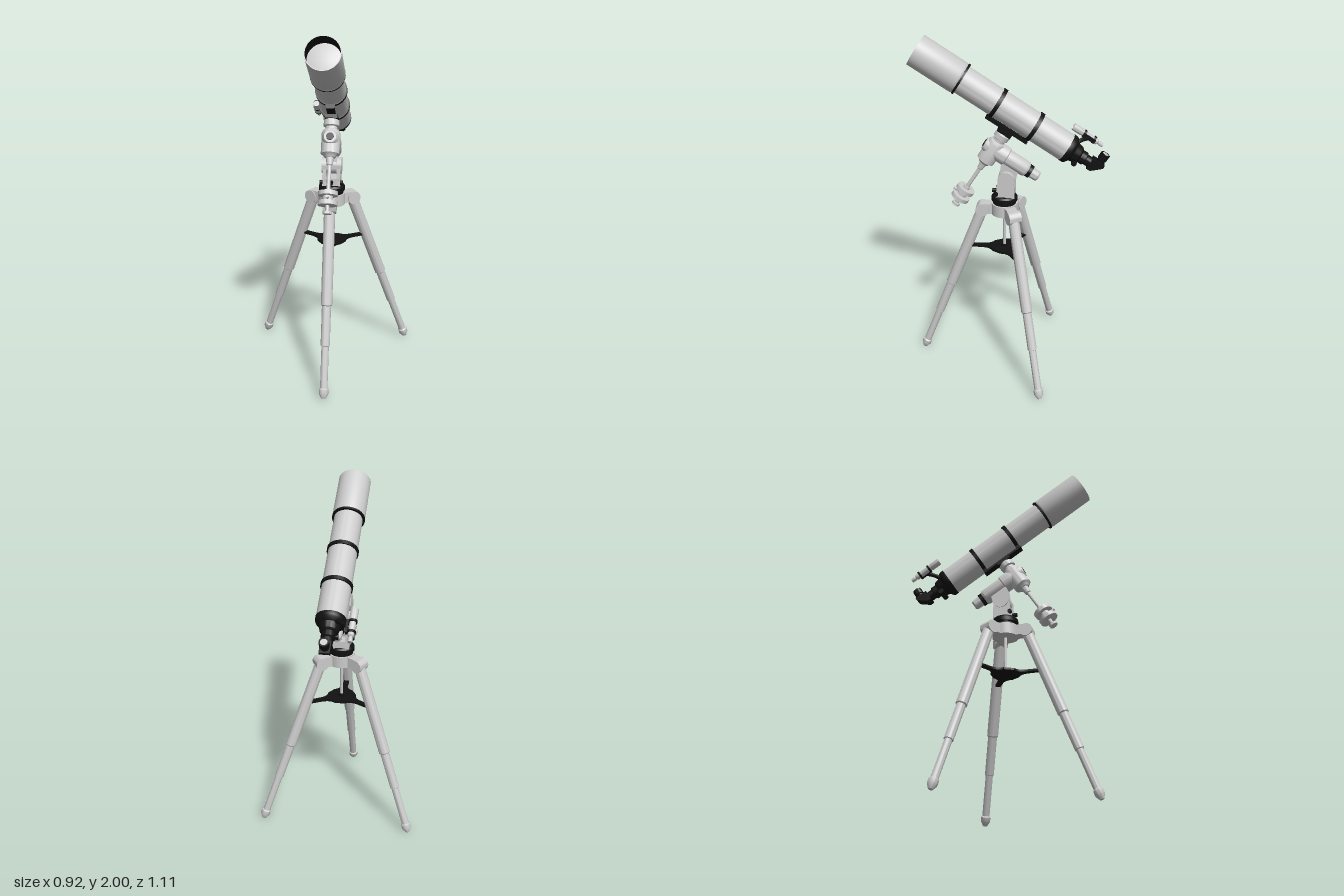
import * as THREE from 'three';
import { toCreasedNormals } from 'three/addons/utils/BufferGeometryUtils.js';

const grey = new THREE.MeshStandardMaterial({ color: 0xcccccc });
const black = new THREE.MeshStandardMaterial({ color: 0x111111 });
const TILT = 0.564;   // optical axis above the horizon
const HUB_Z = 0.03;   // tripod centre

function add(parent, name, geo, mat, x = 0, y = 0, z = 0) {
  const m = new THREE.Mesh(geo, mat);
  m.name = name;
  m.position.set(x, y, z);
  parent.add(m);
  return m;
}

// Turned part; profile is [radius, position] pairs, ascending along the axis.
function turned(profile, axis = 'y', seg = 40) {
  const g = new THREE.LatheGeometry(profile.map(p => new THREE.Vector2(p[0], p[1])), seg);
  if (axis === 'z') g.rotateX(Math.PI / 2);
  if (axis === 'x') g.rotateZ(-Math.PI / 2);
  return toCreasedNormals(g, 0.6);
}
const rod = (r, a, b, axis, seg) => turned([[0, a], [r, a], [r, b], [0, b]], axis, seg);
const ring = (ri, ro, a, b, axis) => turned([[ri, a], [ro, a], [ro, b], [ri, b], [ri, a]], axis);
const box = (w, h, d) => new THREE.BoxGeometry(w, h, d);

// Flat outline in the (z, y) plane, given thickness along x.
function sidePlate(points, width) {
  const s = new THREE.Shape(points.map(p => new THREE.Vector2(-p[0], p[1])));
  return new THREE.ExtrudeGeometry(s, { depth: width, bevelEnabled: false, curveSegments: 24 })
    .translate(0, 0, -width / 2).rotateY(Math.PI / 2);
}

function buildTube() {
  const g = new THREE.Group();
  g.name = 'opticalTube';
  add(g, 'mainTube', turned([[0, -0.335], [0.081, -0.335], [0.081, 0.362]], 'z', 56), grey);
  add(g, 'dewShield', turned([[0.081, 0.355], [0.0925, 0.372], [0.0925, 0.645], [0.088, 0.645]], 'z', 56), grey);
  add(g, 'shieldLining', turned([[0.088, 0.645], [0.088, 0.55]], 'z', 56), black);
  add(g, 'objectiveLens', turned([[0.088, 0.558], [0.06, 0.564], [0.03, 0.568], [0, 0.569]], 'z', 56), grey);
  add(g, 'shieldBand', ring(0.08, 0.0935, 0.352, 0.364, 'z'), black);
  // Clamp rings with feet and the plate joining them
  for (const z of [0.12, -0.12]) {
    add(g, 'clampRing', ring(0.08, 0.088, z - 0.011, z + 0.011, 'z'), black);
    add(g, 'ringFoot', box(0.05, 0.02, 0.022), black, 0, -0.09, z);
  }
  add(g, 'mountingPlate', box(0.045, 0.012, 0.27), black, 0, -0.102, 0);
  // Focuser, diagonal and eyepiece
  add(g, 'focuser', turned([[0, -0.5], [0.03, -0.5], [0.03, -0.455], [0.038, -0.45], [0.038, -0.42],
    [0.05, -0.41], [0.058, -0.375], [0.078, -0.36], [0.083, -0.35], [0.083, -0.33], [0, -0.33]], 'z'), black);
  add(g, 'focusKnobs', rod(0.016, -0.045, 0.045, 'x', 20), black, 0, -0.042, -0.41);
  add(g, 'diagonal', sidePlate([[-0.485, 0.034], [-0.485, -0.034], [-0.51, -0.034], [-0.562, 0.018], [-0.562, 0.034]], 0.058), black);
  add(g, 'eyepiece', turned([[0, 0.03], [0.022, 0.03], [0.022, 0.05], [0.027, 0.053], [0.027, 0.09], [0.019, 0.09]]), black, 0, 0, -0.53);
  add(g, 'eyeLens', rod(0.02, 0.08, 0.088), grey, 0, 0, -0.53);

  // Finder scope on its curved bracket
  const f = new THREE.Group();
  f.name = 'finderScope';
  f.position.set(-0.129, 0.079, -0.415);
  g.add(f);
  add(f, 'finderTube', turned([[0, -0.1], [0.012, -0.1], [0.013, -0.078], [0.01, -0.075], [0.01, -0.068], [0.017, -0.062],
    [0.017, 0.035], [0.021, 0.045], [0.021, 0.1], [0.018, 0.1], [0.017, 0.09], [0, 0.09]], 'z', 28), grey);
  for (const z of [-0.04, 0.025]) add(f, 'finderRing', ring(0.016, 0.023, z - 0.006, z + 0.006, 'z'), black);
  add(f, 'finderRail', box(0.012, 0.022, 0.078), black, 0.026, 0, -0.008);
  const arm = new THREE.CatmullRomCurve3([new THREE.Vector3(-0.03, 0.035, -0.365),
    new THREE.Vector3(-0.06, 0.06, -0.385), new THREE.Vector3(-0.105, 0.078, -0.42)]);
  add(g, 'finderArm', new THREE.TubeGeometry(arm, 16, 0.012, 10), black);
  return g;
}

function buildEquatorialHead() {
  const g = new THREE.Group();
  g.name = 'equatorialHead';
  // Declination axis, square to the tube
  add(g, 'saddle', box(0.07, 0.022, 0.085), black, 0, -0.118, 0);
  add(g, 'declinationHousing', turned([[0, -0.345], [0.03, -0.345], [0.036, -0.335], [0.052, -0.325], [0.052, -0.205],
    [0.045, -0.19], [0.034, -0.185], [0.034, -0.17], [0.044, -0.165], [0.044, -0.135], [0.036, -0.128], [0, -0.128]]), grey);
  add(g, 'shaftCollar', turned([[0.012, -0.39], [0.017, -0.385], [0.022, -0.345], [0, -0.34]]), grey);
  add(g, 'counterweightShaft', rod(0.011, -0.65, -0.34, 'y', 20), grey);
  add(g, 'counterweight', turned([[0, -0.614], [0.054, -0.614], [0.054, -0.59], [0.028, -0.588], [0.028, -0.562],
    [0.054, -0.56], [0.054, -0.536], [0.02, -0.536], [0.02, -0.525], [0, -0.525]]), grey);
  add(g, 'weightScrew', rod(0.008, 0, 0.04, 'z', 14), grey, 0, -0.575, 0.02);
  add(g, 'shaftStop', rod(0.024, -0.662, -0.648), grey);
  // Polar axis, parallel to the tube
  add(g, 'polarHousing', turned([[0, -0.23], [0.036, -0.23], [0.046, -0.215], [0.046, -0.09], [0.054, -0.085],
    [0.054, -0.05], [0.045, 0.04], [0.034, 0.058], [0, 0.058]], 'z'), grey, 0, -0.24, 0);
  add(g, 'polarPort', rod(0.021, 0.05, 0.062, 'z'), black, 0, -0.24, 0);
  add(g, 'polarRing', rod(0.038, -0.25, -0.228, 'z'), black, 0, -0.24, 0);
  add(g, 'polarCap', turned([[0, -0.302], [0.022, -0.302], [0.03, -0.292], [0.032, -0.25], [0, -0.25]], 'z'), grey, 0, -0.24, 0);
  return g;
}

function buildMountBase() {
  const g = new THREE.Group();
  g.name = 'mountBase';
  // Link from the latitude pivot up to the polar housing
  add(g, 'latitudeLink', sidePlate([[0.06, 1.19], [0.045, 1.29], [0.02, 1.33], [-0.06, 1.28], [-0.03, 1.17], [0.02, 1.15]], 0.06), grey);
  add(g, 'latitudePivot', rod(0.048, -0.056, 0.056, 'x'), grey, 0, 1.2, 0.016);
  for (const s of [-1, 1])
    add(g, 'forkCheek', sidePlate([[0.075, 1.09], [0.07, 1.14], [0.062, 1.2], [-0.028, 1.2], [-0.032, 1.09]], 0.022), grey, s * 0.04, 0, 0);
  add(g, 'forkFloor', box(0.08, 0.05, 0.1), grey, 0, 1.11, 0.022);
  add(g, 'latitudeScrew', rod(0.012, 0, 0.05, 'z', 16), black, 0, 1.115, 0.05);
  for (const s of [-1, 1])
    add(g, 'azimuthKnob', rod(0.012, -0.008, 0.008, 'x', 16), black, s * 0.058, 1.115, 0.072);
  add(g, 'azimuthDisc', turned([[0, 1.035], [0.066, 1.035], [0.066, 1.055], [0.074, 1.06], [0.074, 1.083],
    [0.066, 1.094], [0, 1.094]]), black, 0, 0, HUB_Z);
  return g;
}

function buildTripod() {
  const g = new THREE.Group();
  g.name = 'tripod';
  g.position.z = HUB_Z;
  add(g, 'hub', rod(0.076, 0.975, 1.042), grey);
  add(g, 'centreRod', rod(0.009, 0.75, 0.98, 'y', 16), grey);
  const topZ = 0.13, footZ = 0.512, topY = 0.99;
  const length = Math.hypot(topY, footZ - topZ);
  for (let i = 0; i < 3; i++) {
    const leg = new THREE.Group();
    leg.name = 'leg';
    leg.rotation.y = i * Math.PI * 2 / 3;
    g.add(leg);
    add(leg, 'legBracket', box(0.062, 0.062, 0.085), grey, 0, 1.006, 0.085);
    add(leg, 'legHinge', rod(0.038, -0.037, 0.037, 'x', 28), grey, 0, 0.999, 0.128);
    // Telescoping sections with the foot at the origin
    const sections = add(leg, 'legSections', turned([[0, 0], [0.012, 0.003], [0.027, 0.03], [0.027, 0.056], [0.021, 0.062],
      [0.021, 0.295], [0.026, 0.298], [0.026, 0.518], [0.032, 0.524], [0.032, length], [0, length]], 'y', 28), grey, 0, 0, footZ);
    sections.rotation.x = -Math.atan2(footZ - topZ, topY);
  }
  // Three-armed spreader tray with concave flanks
  const tray = new THREE.Shape();
  const at = (r, a, w) => [r * Math.cos(a) - w * Math.sin(a), r * Math.sin(a) + w * Math.cos(a)];
  for (let i = 0; i < 3; i++) {
    const a = Math.PI / 2 + i * Math.PI * 2 / 3;
    if (i === 0) tray.moveTo(...at(0.205, a, -0.015));
    tray.lineTo(...at(0.205, a, 0.015));
    tray.lineTo(...at(0.125, a, 0.016));
    tray.quadraticCurveTo(...at(0.08, a, 0.02), ...at(0.065, a, 0.055));
    const b = a + Math.PI * 2 / 3;
    tray.lineTo(...at(0.065, b, -0.055));
    tray.quadraticCurveTo(...at(0.08, b, -0.02), ...at(0.125, b, -0.016));
    tray.lineTo(...at(0.205, b, -0.015));
  }
  const trayGeo = new THREE.ExtrudeGeometry(tray, { depth: 0.012, bevelEnabled: false }).rotateX(Math.PI / 2).scale(1, 1, 1);
  add(g, 'spreaderTray', trayGeo, black, 0, 0.759, 0);
  add(g, 'trayNut', rod(0.018, 0.757, 0.772, 'y', 20), black);
  return g;
}

export function createModel() {
  const model = new THREE.Group();
  model.name = 'telescope';
  // Tube and equatorial axes share one tilted frame centred on the tube
  const tilted = new THREE.Group();
  tilted.name = 'tiltedAssembly';
  tilted.position.set(0, 1.575, -0.037);
  tilted.rotation.x = -TILT;
  tilted.add(buildTube(), buildEquatorialHead());
  model.add(tilted, buildMountBase(), buildTripod());
  return model;
}
